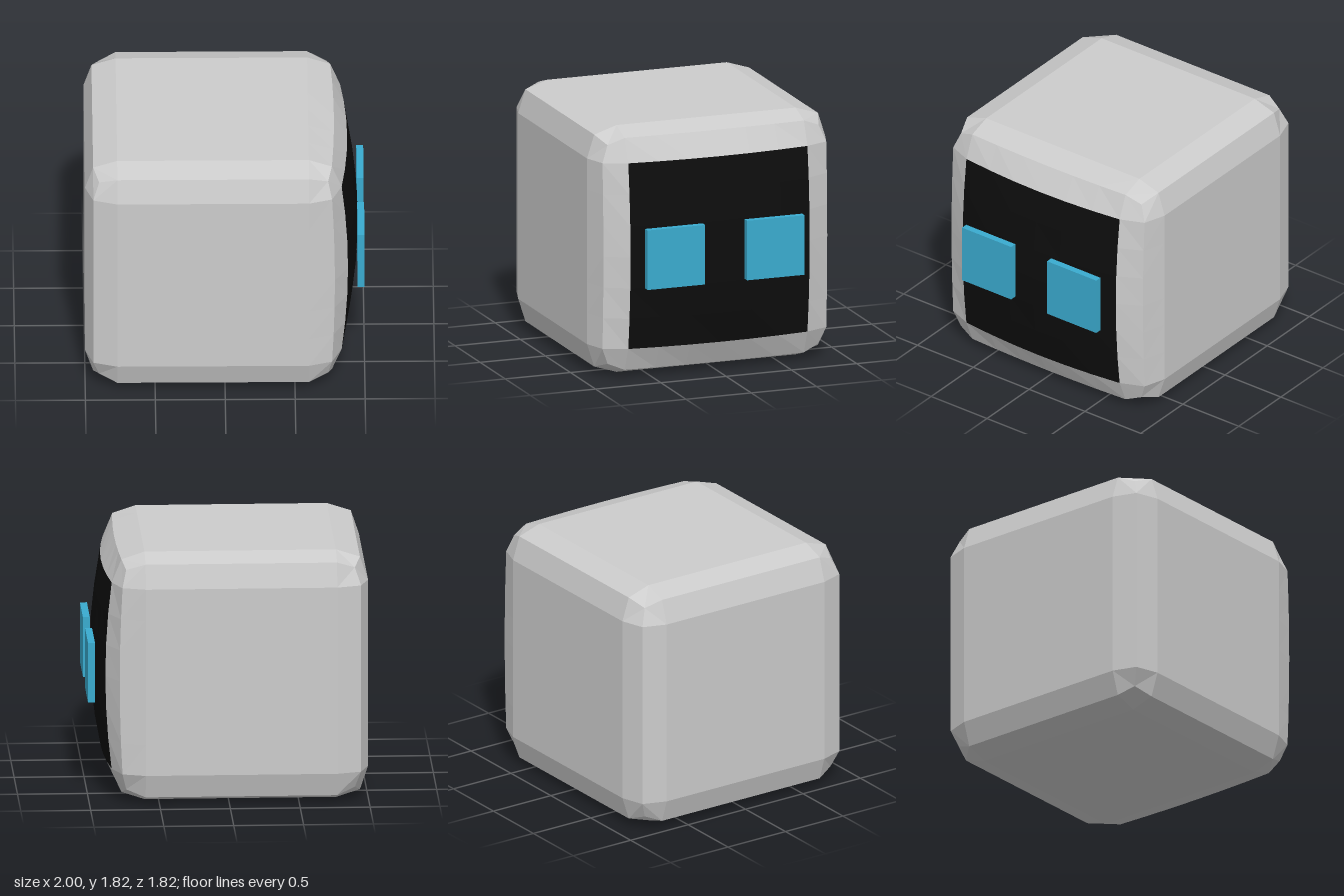
import * as THREE from 'three';

const N = 8;          // lattice cells per side; index 0 and N lie on the bevel
const HALF = 0.912;   // half height and half depth of the body
const FLAT = 0.686;   // half size of the flat area of each face

// Reach of a point on a face, on a bevel's middle line, or on a corner
const REACH = [0, HALF, 0.857, 0.808];
const X_BACK = [0, -1, -0.942, -0.9];

const isEnd = (i) => i === 0 || i === N;
const inner = (i) => -1 + (2 * (i - 1)) / (N - 2);

// Rounded cube lattice; the +x side swells outward like a cushion
function latticePoint(idx) {
  const ends = idx.filter(isEnd).length;
  const fall = (i) => (isEnd(i) ? 0 : 1 - inner(i) ** 2);
  const side = (i) => (isEnd(i) ? Math.sign(i - 1) * REACH[ends] : inner(i) * FLAT);
  const [ix, iy, iz] = idx;
  const fy = fall(iy), fz = fall(iz);
  let x;
  if (ix === 0) x = X_BACK[ends];
  else if (ix === N) {
    if (ends === 1) x = 0.835 + 0.045 * (fy + fz) + 0.032 * fy * fz;
    else x = ends === 2 ? 0.765 + 0.02 * (fy + fz) : 0.737;
  } else x = -0.085 + inner(ix) * 0.685;
  return [x, HALF + side(iy), side(iz)];
}

// Collects the quads of all six sides that pass the filter
function buildShell(keep) {
  const pos = [];
  for (let axis = 0; axis < 3; axis++) {
    for (const end of [0, N]) {
      for (let u = 0; u < N; u++) {
        for (let v = 0; v < N; v++) {
          if (!keep(axis, end, u, v)) continue;
          const at = (a, b) => {
            const idx = [0, 0, 0];
            idx[axis] = end;
            idx[(axis + 1) % 3] = a;
            idx[(axis + 2) % 3] = b;
            return latticePoint(idx);
          };
          const q = [at(u, v), at(u + 1, v), at(u + 1, v + 1), at(u, v + 1)];
          if (end === 0) q.reverse();
          for (const k of [0, 1, 2, 0, 2, 3]) pos.push(...q[k]);
        }
      }
    }
  }
  const geo = new THREE.BufferGeometry();
  geo.setAttribute('position', new THREE.Float32BufferAttribute(pos, 3));
  geo.computeVertexNormals();
  return geo;
}

export function createModel() {
  const model = new THREE.Group();
  model.name = 'cubeHead';
  const add = (name, geo, color) => {
    const mesh = new THREE.Mesh(geo, new THREE.MeshStandardMaterial({ color, flatShading: true }));
    mesh.name = name;
    model.add(mesh);
    return mesh;
  };

  // Bevelled body, and the dark screen set into its swollen +x side
  const mid = (i) => i > 0 && i < N - 1;
  const onScreen = (axis, end, u, v) => axis === 0 && end === N && mid(u) && mid(v);
  add('body', buildShell((...f) => !onScreen(...f)), 0xcccccc);
  add('screen', buildShell(onScreen), 0x0d0d0d);

  // Square eyes
  for (const s of [1, -1]) {
    const eye = add(s > 0 ? 'frontEye' : 'backEye', new THREE.BoxGeometry(0.05, 0.44, 0.44), 0x3aabcf);
    eye.position.set(0.975, 0.914, s * 0.381);
  }
  return model;
}
